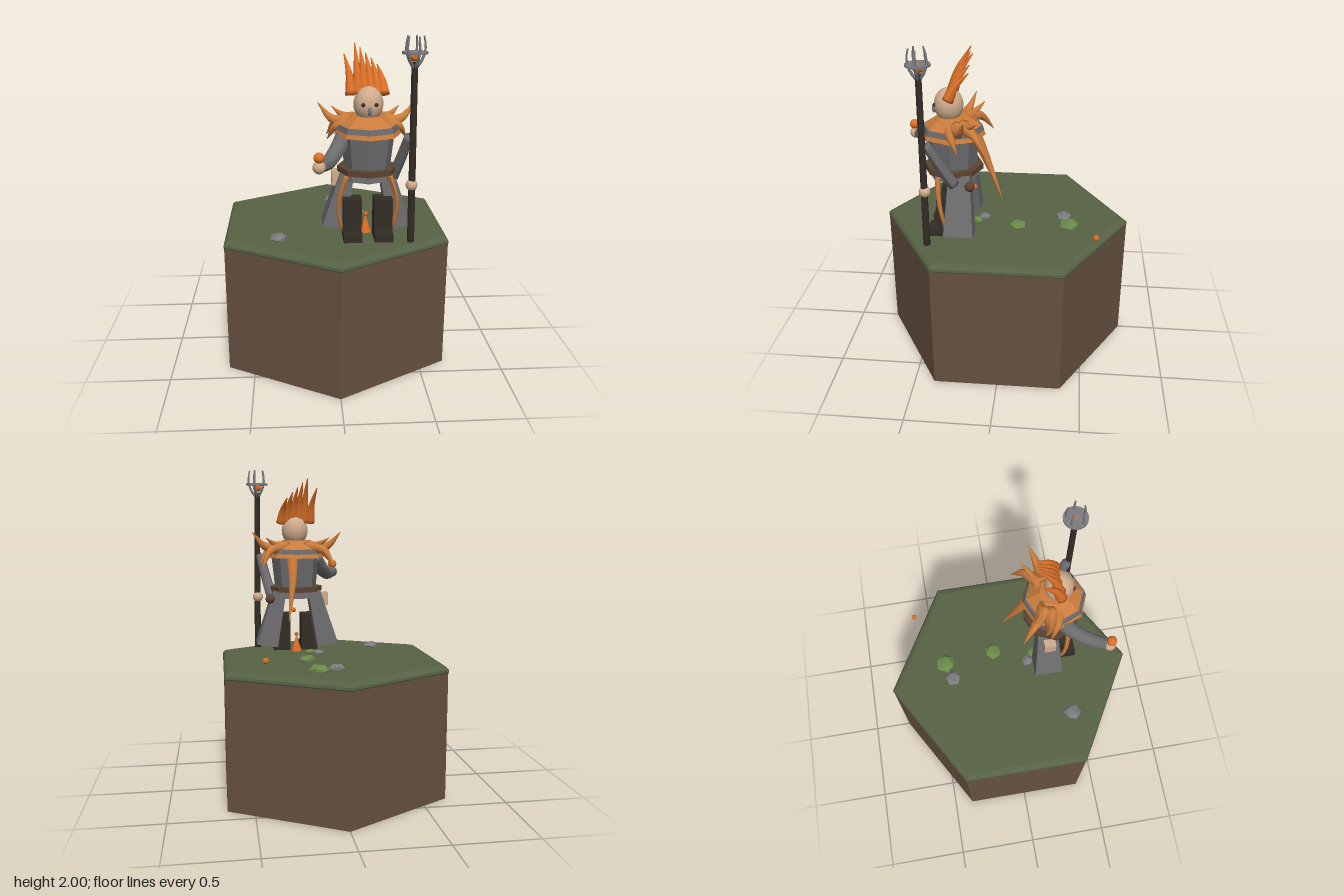
import * as THREE from 'three';

const mat = (name, color) => {
  const m = new THREE.MeshStandardMaterial({ color });
  m.name = name;
  return m;
};

export function createModel() {
  const root = new THREE.Group();
  root.name = 'wandererOnHexTile';
  const earth = mat('earth', 0x665040), grass = mat('grass', 0x566245), coat = mat('coat grey', 0x6c6c6e),
    leather = mat('leather orange', 0xcb7c3c), flame = mat('flame orange', 0xdd7028), skin = mat('skin', 0xcfab8c),
    dark = mat('dark brown', 0x342d27), brown = mat('belt brown', 0x5c4330),
    stone = mat('stone', 0x7c7c80), leaf = mat('leaf green', 0x6a8a48);
  const CX = 0.18, CZ = 0.295; // axis of the figure

  const add = (name, geo, m, x = 0, y = 0, z = 0) => {
    const mesh = new THREE.Mesh(geo, m);
    mesh.name = name;
    mesh.position.set(x, y, z);
    root.add(mesh);
    return mesh;
  };
  const flat = (geo) => {
    const g = geo.index ? geo.toNonIndexed() : geo;
    g.computeVertexNormals();
    return g;
  };
  // Closed frustum ring with eight flat sides, a corner pointing forward
  const ring = (name, rTop, rBottom, y0, y1, m) =>
    add(name, flat(new THREE.CylinderGeometry(rTop, rBottom, y1 - y0, 8)), m, CX, (y0 + y1) / 2, CZ);
  // Curved limb or horn tapering from r0 to r1, with closed ends
  const horn = (name, pts, r0, r1, m, sides = 8, n = 14) => {
    const path = new THREE.CatmullRomCurve3(pts.map((p) => new THREE.Vector3(...p)));
    const geo = new THREE.TubeGeometry(path, n, 1, sides, false);
    const pos = geo.attributes.position, v = new THREE.Vector3();
    for (let i = 0; i <= n; i++) {
      const t = Math.min(1, Math.max(0, (i - 1) / (n - 2)));
      const from = path.getPointAt(i / n), to = path.getPointAt(t);
      const r = i === 0 || i === n ? 0 : r0 + (r1 - r0) * t;
      for (let j = 0; j <= sides; j++) {
        const k = i * (sides + 1) + j;
        v.fromBufferAttribute(pos, k).sub(from).multiplyScalar(r).add(to);
        pos.setXYZ(k, v.x, v.y, v.z);
      }
    }
    geo.computeVertexNormals();
    return add(name, geo, m);
  };

  // Hexagonal ground tile with a rounded turf lid
  add('earthBlock', flat(new THREE.CylinderGeometry(0.76, 0.76, 0.785, 6)), earth, 0, 0.3925, 0);
  const lid = [[0, 0.775], [0.755, 0.775], [0.764, 0.79], [0.762, 0.805], [0.748, 0.819], [0.72, 0.827], [0, 0.827]];
  add('turf', flat(new THREE.LatheGeometry(lid.map((p) => new THREE.Vector2(...p)), 6)), grass);

  // Scattered rocks and mossy clumps: x, z, radius, material
  [[0.01, -0.365, 0.052, stone], [-0.34, 0.35, 0.056, stone], [0.05, 0.13, 0.038, stone],
    [0.12, -0.4, 0.066, leaf], [0.15, -0.085, 0.056, leaf], [0.1, 0.17, 0.036, leaf]].forEach(([x, z, r, m], i) => {
    const rock = add(m === stone ? 'rock' : 'mossClump', flat(new THREE.IcosahedronGeometry(r, 0)), m, x, 0.833, z);
    rock.rotation.y = i * 0.9;
    rock.scale.y = 0.5;
  });

  // Small fire and floating embers
  add('fire', new THREE.ConeGeometry(0.036, 0.11, 8), flame, CX, 0.88, 0.25);
  [[0.18, 0.94, 0.25, 0.015], [0.205, 1.11, 0.17, 0.017], [0.435, 0.925, -0.555, 0.019]].forEach(([x, y, z, r]) =>
    add('ember', flat(new THREE.IcosahedronGeometry(r, 0)), flame, x, y, z));

  for (const s of [-1, 1]) {
    // Boots
    add('bootShaft', new THREE.BoxGeometry(0.108, 0.245, 0.105), dark, CX + s * 0.09, 0.9475, 0.333);
    add('bootFoot', new THREE.BoxGeometry(0.108, 0.05, 0.16), dark, CX + s * 0.09, 0.851, 0.362);

    // Flared coat tail on each side
    const tail = new THREE.BoxGeometry(1, 1, 1), p = tail.attributes.position;
    for (let i = 0; i < p.count; i++) {
      const low = p.getY(i) < 0, outer = p.getX(i) * s > 0, side = Math.sign(p.getZ(i));
      const x = low ? (outer ? 0.262 : 0.13) : (outer ? 0.15 : 0.07);
      const y = low ? (outer ? 0.89 : 0.868) : 1.23;
      p.setXYZ(i, CX + s * x, y, 0.245 + side * (low ? 0.087 : 0.062));
    }
    add('coatTail', flat(tail), coat);

    // Leather strip hanging in front
    horn('coatTrim', [[CX + s * 0.125, 1.21, 0.375], [CX + s * 0.163, 1.08, 0.365],
      [CX + s * 0.17, 0.98, 0.35], [CX + s * 0.145, 0.865, 0.33]], 0.016, 0.01, leather, 6);

    // Shoulder spikes
    const spike = (base, mid, tip, r) => horn('shoulderSpike',
      [base, mid, tip].map(([x, y, z]) => [CX + s * x, y, z]), r, 0.002, leather);
    spike([0.09, 1.5, 0.26], [0.2, 1.515, 0.23], [0.283, 1.605, 0.19], 0.048);
    spike([0.08, 1.51, 0.23], [0.17, 1.49, 0.15], [0.225, 1.39, 0.08], 0.046);
    spike([0.1, 1.49, 0.3], [0.18, 1.48, 0.28], [0.23, 1.4, 0.24], 0.042);
    spike([0.06, 1.51, 0.22], [0.14, 1.53, 0.18], [0.2, 1.57, 0.13], 0.036);

    // Eyes
    add('eye', new THREE.SphereGeometry(0.012, 12, 8), dark, CX + s * 0.036, 1.622, 0.389);
  }

  // Torso, belt and layered collar
  ring('coatHem', 0.132, 0.145, 1.18, 1.24, coat);
  ring('coatBody', 0.158, 0.132, 1.23, 1.47, coat);
  ring('belt', 0.175, 0.175, 1.222, 1.254, brown);
  ring('collarLower', 0.18, 0.192, 1.44, 1.47, leather);
  ring('collarBand', 0.175, 0.184, 1.465, 1.495, coat);
  ring('collarUpper', 0.09, 0.172, 1.49, 1.55, leather);
  horn('backSpike', [[0.21, 1.49, 0.18], [0.215, 1.32, 0.105], [0.25, 1.06, 0]], 0.042, 0.002, leather);

  // Belt pouch and flask
  add('pouch', new THREE.BoxGeometry(0.06, 0.085, 0.07), skin, 0.005, 1.172, 0.25);
  add('flask', new THREE.SphereGeometry(0.03, 12, 8), brown, 0.355, 1.18, 0.18);

  // Head
  add('head', new THREE.SphereGeometry(0.085, 24, 16), skin, CX, 1.615, 0.315).scale.y = 1.18;
  add('nose', new THREE.SphereGeometry(0.014, 10, 8), stone, CX, 1.588, 0.4).scale.set(0.9, 1.8, 1);

  // Swept crest of hair: tip x and tip y of each lock
  [[0.05, 1.88], [0.11, 1.94], [0.14, 1.915], [0.172, 1.885], [0.205, 1.855], [0.24, 1.82]].forEach(([x, y], i) => {
    const bx = 0.083 + i * 0.037;
    horn('hairLock', [[bx, 1.665, 0.305], [bx * 0.75 + x * 0.25, 1.665 + (y - 1.665) * 0.5, 0.265], [x, y, 0.188]],
      0.034, 0.003, flame);
  });

  // Outstretched arm holding a glowing orb
  horn('rightArm', [[0.06, 1.45, 0.29], [-0.005, 1.36, 0.38], [-0.055, 1.32, 0.47], [-0.105, 1.325, 0.565]],
    0.052, 0.036, coat, 12);
  add('rightHand', new THREE.SphereGeometry(0.036, 16, 12), skin, -0.11, 1.322, 0.58);
  add('orb', flat(new THREE.IcosahedronGeometry(0.031, 1)), flame, -0.11, 1.377, 0.585);

  // Arm beside the staff
  horn('leftArm', [[0.4, 1.45, 0.415], [0.37, 1.31, 0.345], [0.335, 1.18, 0.275]], 0.028, 0.036, coat);
  add('leftHand', new THREE.SphereGeometry(0.034, 16, 12), skin, 0.42, 1.17, 0.43);

  // Staff with a clawed head around a crystal
  const sx = 0.415, sz = 0.432;
  horn('staffShaft', [[0.425, 0.825, sz], [0.42, 1.35, sz], [sx, 1.86, sz]], 0.021, 0.018, dark);
  add('staffDisc', new THREE.CylinderGeometry(0.07, 0.07, 0.012, 24), stone, sx, 1.912, sz);
  add('staffCrystal', flat(new THREE.IcosahedronGeometry(0.032, 0)), flame, sx, 1.893, sz);
  for (let i = 0; i < 5; i++) {
    const a = (i / 5) * Math.PI * 2 + 0.3;
    const at = (r, y) => [sx + Math.sin(a) * r, y, sz + Math.cos(a) * r];
    horn('staffClaw', [at(0.012, 1.835), at(0.036, 1.87), at(0.053, 1.915), at(0.054, 1.96), at(0.046, 2)],
      0.009, 0.005, stone, 6);
  }
  return root;
}
